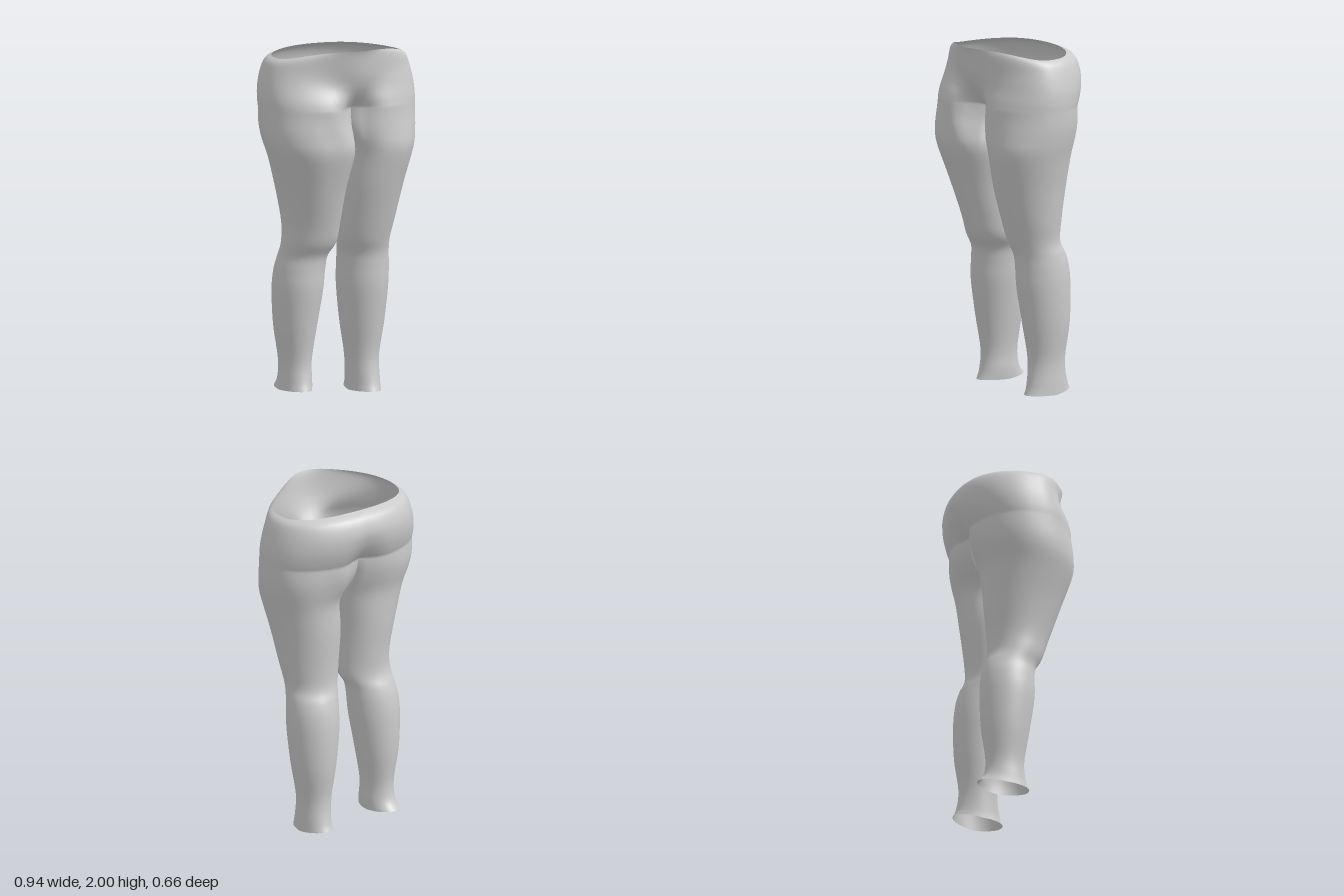
import * as THREE from 'three';
import { mergeVertices } from 'three/addons/utils/BufferGeometryUtils.js';

const { lerp, smoothstep } = THREE.MathUtils;
const OUTER = 40, INNER = 14, RING = OUTER + INNER;

// Leg sections, bottom to top: y, inner x, outer x, back z, front z, inner squareness.
const leftLeg = [
  [0.00, 0.13, 0.31, -0.235, 0.06, 2], [0.06, 0.13, 0.31, -0.215, 0.04, 2],
  [0.20, 0.12, 0.31, -0.20, 0.025, 2], [0.40, 0.09, 0.34, -0.225, 0.055, 2],
  [0.60, 0.065, 0.355, -0.23, 0.085, 2], [0.72, 0.06, 0.355, -0.22, 0.092, 2],
  [0.80, 0.055, 0.348, -0.20, 0.10, 2], [0.88, 0.035, 0.34, -0.168, 0.13, 2],
  [1.00, 0.02, 0.36, -0.17, 0.17, 2], [1.20, 0.012, 0.395, -0.19, 0.23, 2.2],
  [1.40, 0.03, 0.44, -0.205, 0.28, 2.5], [1.50, 0.012, 0.455, -0.225, 0.29, 2.8],
  [1.58, 0.00, 0.465, -0.25, 0.292, 3], [1.66, 0.00, 0.47, -0.28, 0.285, 3],
];
const rightLeg = [
  [0.03, 0.13, 0.31, -0.255, 0.055, 2], [0.09, 0.125, 0.305, -0.215, 0.035, 2],
  [0.20, 0.125, 0.305, -0.20, 0.025, 2], [0.40, 0.095, 0.335, -0.225, 0.055, 2],
  [0.60, 0.065, 0.35, -0.23, 0.085, 2], [0.72, 0.055, 0.342, -0.22, 0.09, 2],
  [0.80, 0.045, 0.326, -0.20, 0.10, 2], [0.88, 0.01, 0.325, -0.168, 0.145, 2],
  [1.00, 0.00, 0.33, -0.17, 0.185, 2], [1.20, -0.012, 0.375, -0.19, 0.25, 2.2],
  [1.40, -0.04, 0.435, -0.205, 0.315, 2.5], [1.50, -0.03, 0.458, -0.225, 0.329, 2.8],
  [1.58, -0.005, 0.468, -0.25, 0.332, 3], [1.66, 0.00, 0.472, -0.28, 0.322, 3],
];
// Hip sections: y, outer x, back z, front z, back z and front z on the centre line.
const hips = [
  [1.66, 0.471, -0.28, 0.32, -0.22, 0.18], [1.71, 0.472, -0.303, 0.305, -0.262, 0.225],
  [1.78, 0.465, -0.325, 0.275, -0.305, 0.275], [1.86, 0.445, -0.33, 0.255, -0.328, 0.305],
  [1.92, 0.42, -0.30, 0.25, -0.30, 0.32], [1.945, 0.388, -0.24, 0.24, -0.24, 0.33],
];

// Smoothly adds sections between the given ones.
function refine(rows, steps) {
  const out = [];
  for (let i = 0; i < rows.length - 1; i++) {
    const p = rows[Math.max(i - 1, 0)], a = rows[i];
    const b = rows[i + 1], q = rows[Math.min(i + 2, rows.length - 1)];
    for (let k = 0; k < steps; k++) {
      const t = k / steps;
      out.push(a.map((v, c) => {
        const slope = b[c] - p[c];
        const bend = 2 * p[c] - 5 * v + 4 * b[c] - q[c];
        const twist = 3 * (v - b[c]) + q[c] - p[c];
        return v + 0.5 * t * (slope + t * (bend + t * twist));
      }));
    }
  }
  out.push(rows[rows.length - 1]);
  return out;
}

const power = (v, n) => Math.sign(v) * Math.abs(v) ** (2 / n);

// Full ring round a leg: outer arc first, then the inner thigh wall.
function legRing([y, xi, xo, zb, zf, n], side) {
  const cx = (xi + xo) / 2, a = (xo - xi) / 2, cz = (zb + zf) / 2, b = (zf - zb) / 2;
  const hem = Math.max(0, 1 - y / 0.12) * 0.025;
  return Array.from({ length: RING }, (_, i) => {
    const deg = i <= OUTER ? -50 + 280 * i / OUTER : 230 + 80 * (i - OUTER) / INNER;
    const s = Math.sin(deg * Math.PI / 180), c = Math.cos(deg * Math.PI / 180);
    const e = s < 0 ? n : 2;
    return [side * (cx + a * power(s, e)), y + hem * Math.max(0, -c), cz + b * power(c, e)];
  });
}

// Half ring of the hips from front centre to back centre.
function hipRing([y, xo, zb, zf, zbc, zfc], side) {
  const rise = smoothstep(y, 1.72, 1.945);
  const front = zf - side * 0.02 * (1 - smoothstep(y, 1.66, 1.84));
  return Array.from({ length: OUTER + 1 }, (_, i) => {
    const phi = Math.PI * i / OUTER, c = Math.cos(phi);
    const x = i % OUTER ? xo * power(Math.sin(phi), c < 0 ? 2.3 : 2.15) : 0;
    const cz = 0.015, soft = Math.exp(-((x / (c > 0 ? 0.1 + 0.08 * rise : 0.09)) ** 2));
    const z = c > 0
      ? cz + (front - cz) * power(c, 2.15) + (zfc - front) * soft
      : cz - (cz - zb) * Math.abs(power(c, 2.3)) + (zbc - zb) * soft;
    const lift = smoothstep(y, 1.84, 1.945) * (c > 0 ? 0.055 : 0.025) * c * c;
    return [side * x, y + lift, i % OUTER ? z : (i ? zbc : zfc)];
  });
}

function addHalf(points, index, legRows, side) {
  const upper = refine(hips, 4).map((r) => hipRing(r, side));
  // The crotch closes the lowest hip ring along the centre line
  const crotch = upper[0], f = crotch[0], b = crotch[OUTER];
  for (let k = 1; k < INNER; k++) {
    const t = k / INNER;
    crotch.push([0, f[1] + 0.01 * Math.sin(Math.PI * t), b[2] + (f[2] - b[2]) * t]);
  }
  // The upper thigh flows gradually into the hip outline
  const legs = refine(legRows, 5).slice(0, -1).map((row) => {
    const w = smoothstep(row[0], 1.36, 1.68);
    return legRing(row, side).map(([x, y, z], i) => [lerp(x, crotch[i][0], w), y, lerp(z, crotch[i][2], w)]);
  });
  const rings = [...legs, ...upper];
  const starts = rings.map((ring) => {
    const start = points.length / 3;
    ring.forEach((p) => points.push(...p));
    return start;
  });
  for (let r = 0; r < rings.length - 1; r++) {
    const count = r < legs.length ? RING : OUTER;
    for (let i = 0; i < count; i++) {
      const j = (i + 1) % RING;
      const [p, q, u, v] = [starts[r] + i, starts[r] + j, starts[r + 1] + i, starts[r + 1] + j];
      if (side > 0) index.push(p, q, v, p, v, u);
      else index.push(p, v, q, p, u, v);
    }
  }
}

export function createModel() {
  const points = [], index = [];
  addHalf(points, index, leftLeg, 1);
  addHalf(points, index, rightLeg, -1);

  // Both halves are welded so the shading runs across the centre line
  let geometry = new THREE.BufferGeometry();
  geometry.setAttribute('position', new THREE.Float32BufferAttribute(points, 3));
  geometry.setIndex(index);
  geometry = mergeVertices(geometry, 1e-5);
  geometry.computeVertexNormals();

  const body = new THREE.Mesh(geometry, new THREE.MeshStandardMaterial({ color: 0xcccccc, side: THREE.DoubleSide }));
  body.name = 'hipsAndLegs';
  const group = new THREE.Group();
  group.name = 'lowerBody';
  group.add(body);
  return group;
}
